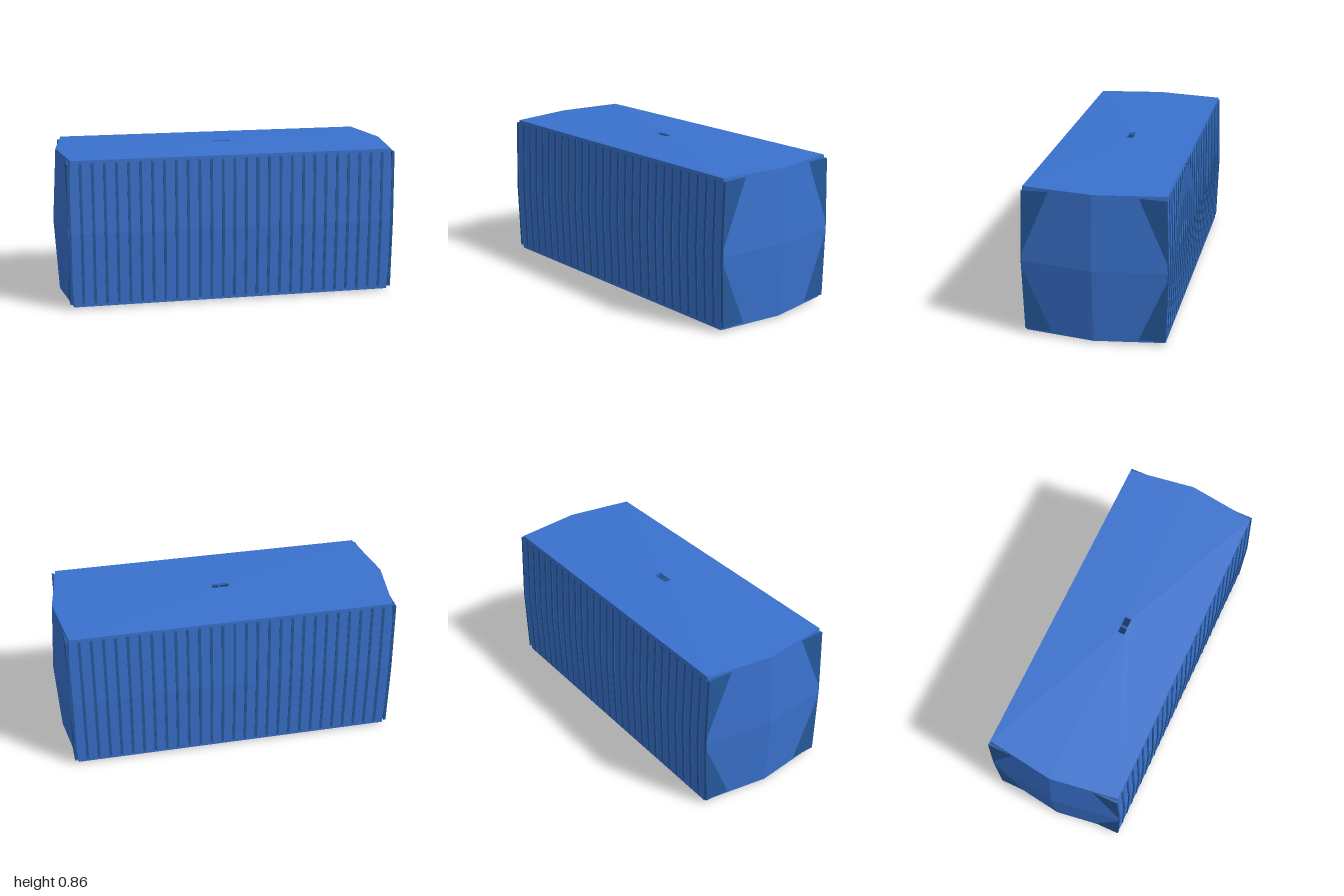
import * as THREE from 'three';

const MID = 0.435; // height of the mirror plane

// Six-point outline at height y: corners at (cx, z), pointed ends at (tx, 0)
function ring(y, cx, tx, z) {
  return [[cx, z], [tx, 0], [cx, -z], [-cx, -z], [-tx, 0], [-cx, z]]
    .map(([px, pz]) => [px, y, pz]);
}

// Flat-shaded skin through a stack of outlines, bottom to top
function loft(rings) {
  const pos = [];
  for (let r = 0; r < rings.length - 1; r++) {
    const lo = rings[r], hi = rings[r + 1];
    for (let i = 0; i < lo.length; i++) {
      const j = (i + 1) % lo.length;
      pos.push(...lo[i], ...lo[j], ...hi[j], ...lo[i], ...hi[j], ...hi[i]);
    }
  }
  const geo = new THREE.BufferGeometry();
  geo.setAttribute('position', new THREE.Float32BufferAttribute(pos, 3));
  geo.computeVertexNormals();
  return geo;
}

export function createModel() {
  const model = new THREE.Group();
  model.name = 'ribbedContainer';

  const shellBlue = new THREE.MeshStandardMaterial({ color: 0x3a72ce, side: THREE.DoubleSide });
  shellBlue.name = 'shell blue';
  const ribBlue = new THREE.MeshStandardMaterial({ color: 0x265a9c });
  ribBlue.name = 'rib dark blue';

  // Bulging shell, open at a small slot in the lid and in the floor
  const half = [
    [0.42, 0.92, 0.975, 0.386],   // lid edge
    [0.432, 0.05, 0.05, 0.02],    // slot rim
    [0.42, 0.05, 0.05, 0.02],     // inside of the slot
  ];
  const lower = half.map(([h, ...size]) => ring(MID - h, ...size)).reverse();
  const upper = half.map(([h, ...size]) => ring(MID + h, ...size));
  const shell = new THREE.Mesh(
    loft([...lower, ring(MID, 0.944, 1.0, 0.397), ...upper]), shellBlue);
  shell.name = 'shell';
  model.add(shell);

  // Thin upright plates that run through the shell and stand proud as ribs
  const thick = 0.015, pitch = 0.0667;
  const outline = new THREE.Shape([
    [0.39, -0.403], [0.403, 0], [0.39, 0.403],
    [0, 0.413], [-0.39, 0.403], [-0.403, 0], [-0.39, -0.403], [0, -0.413],
  ].map(([z, y]) => new THREE.Vector2(z, y + MID)));
  const plateGeo = new THREE.ExtrudeGeometry(outline, { depth: thick, bevelEnabled: false });
  plateGeo.translate(0, 0, -thick / 2);
  plateGeo.rotateY(Math.PI / 2);

  const ribs = new THREE.Group();
  ribs.name = 'ribs';
  for (let k = -14; k <= 14; k++) {
    const rib = new THREE.Mesh(plateGeo, ribBlue);
    rib.name = 'rib';
    rib.position.x = k * pitch;
    ribs.add(rib);
  }
  model.add(ribs);

  return model;
}
